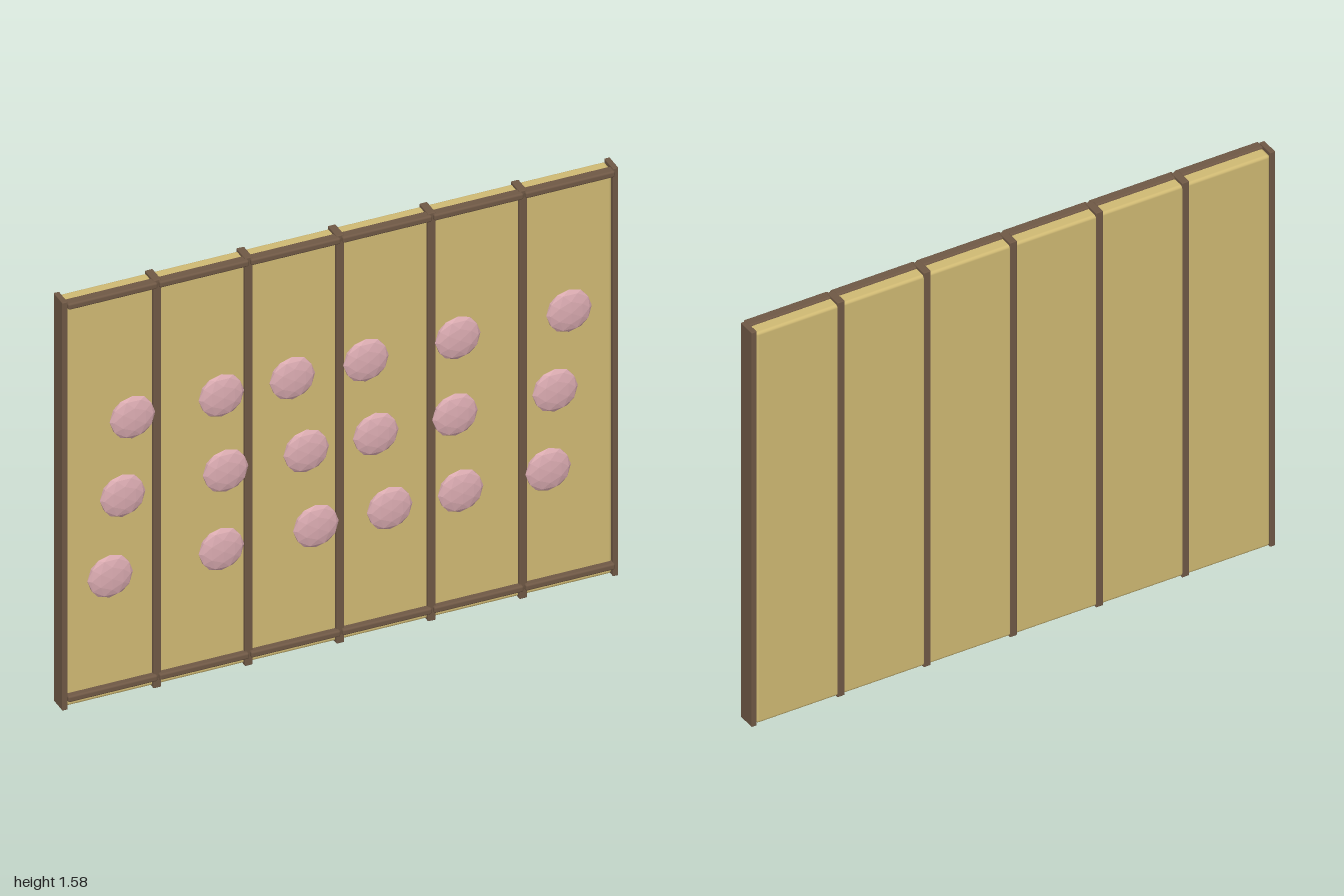
import * as THREE from 'three';
import { RoundedBoxGeometry } from 'three/addons/geometries/RoundedBoxGeometry.js';

const wood = new THREE.MeshStandardMaterial({ color: 0x6f5845 });
const paper = new THREE.MeshStandardMaterial({ color: 0xcfb973 });
const pink = new THREE.MeshStandardMaterial({ color: 0xd9aab0, flatShading: true });

const COUNT = 6;
const PITCH = 0.329;
const HEIGHT = 1.58;

export function createModel() {
  const model = new THREE.Group();
  model.name = 'foldingScreen';

  // Box with softened edges, spanning z0..z1
  function block(name, material, x, y, w, h, z0, z1, radius) {
    const mesh = new THREE.Mesh(new RoundedBoxGeometry(w, h, z1 - z0, 2, radius), material);
    mesh.position.set(x, y, (z0 + z1) / 2);
    mesh.name = name;
    model.add(mesh);
  }

  // Upright stiles at the panel seams and at both ends
  for (let i = 0; i <= COUNT; i++) {
    const end = i === 0 || i === COUNT;
    const w = end ? 0.02 : 0.028;
    const x = end ? Math.sign(i - 1) * 0.99 : (i - COUNT / 2) * PITCH;
    block('stile', wood, x, HEIGHT / 2, w, HEIGHT, -0.045, 0.025, 0.003);
  }

  // Panels, each with its own top and bottom rail
  for (let i = 0; i < COUNT; i++) {
    const x = (i - (COUNT - 1) / 2) * PITCH;
    block('panel', paper, x, HEIGHT / 2 - 0.002, 0.318, 1.565, -0.045, 0.015, 0.011);
    block('topRail', wood, x, 1.565, 0.322, 0.024, 0, 0.038, 0.007);
    block('bottomRail', wood, x, 0.045, 0.322, 0.024, 0, 0.038, 0.007);
  }

  // Flattened blossoms scattered in three rows
  const rows = [
    [1.075, [-0.75, -0.43, -0.175, 0.09, 0.42, 0.82]],
    [0.78, [-0.785, -0.415, -0.125, 0.125, 0.41, 0.77]],
    [0.48, [-0.83, -0.43, -0.09, 0.175, 0.43, 0.745]],
  ];
  const blossom = new THREE.IcosahedronGeometry(0.082, 1).scale(1, 1, 0.25);
  for (const [y, xs] of rows) {
    for (const x of xs) {
      const mesh = new THREE.Mesh(blossom, pink);
      mesh.position.set(x, y, 0.029);
      mesh.name = 'blossom';
      model.add(mesh);
    }
  }

  return model;
}
